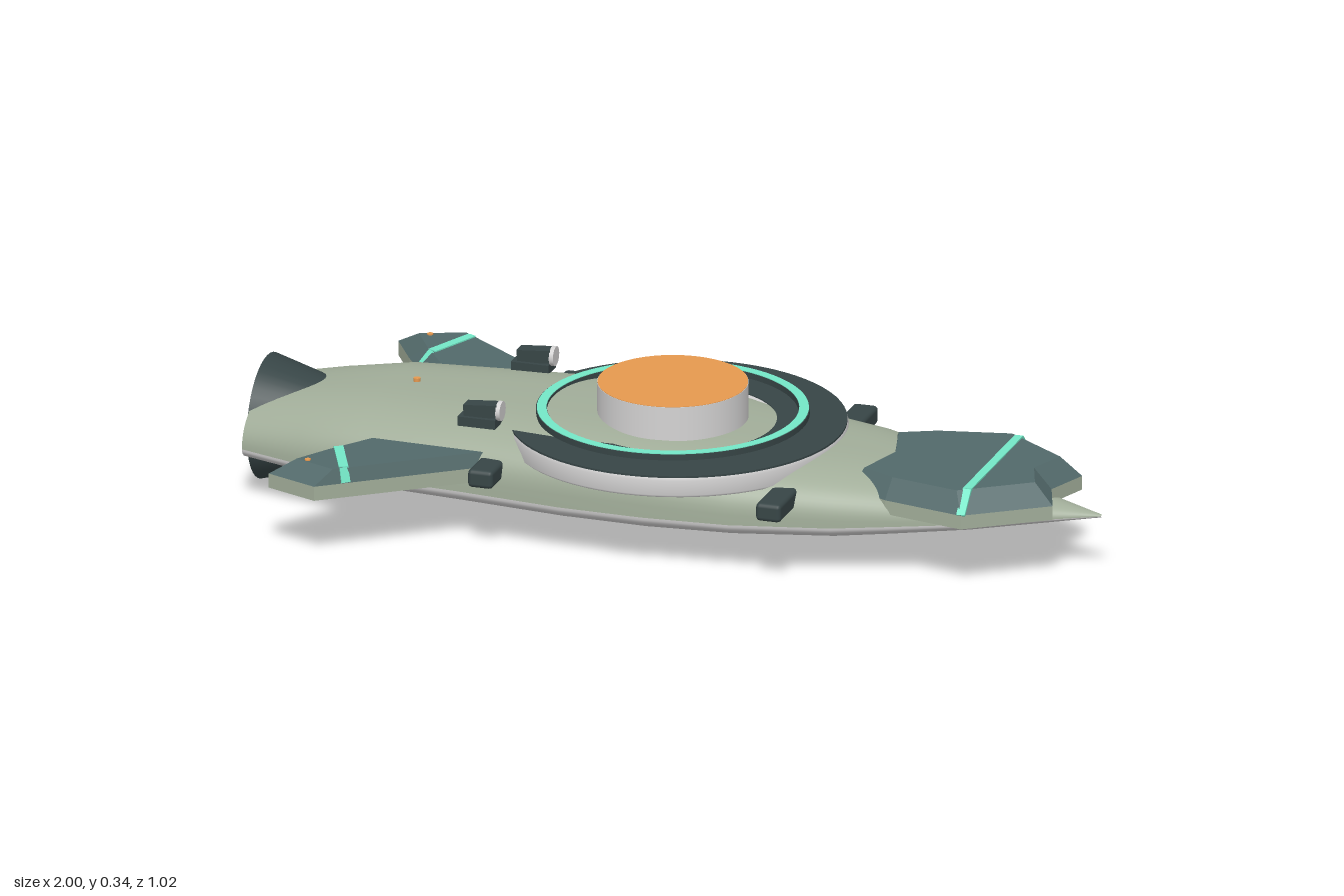
import * as THREE from 'three';
import { RoundedBoxGeometry } from 'three/addons/geometries/RoundedBoxGeometry.js';

const mat = (name, color) => {
  const m = new THREE.MeshStandardMaterial({ color });
  m.name = name;
  return m;
};

export function createModel() {
  const sage = mat('sage hull', 0xa1ad99);
  const slate = mat('slate teal', 0x52696a);
  const dark = mat('dark slate', 0x374546);
  const light = mat('light grey', 0xd4d3d3);
  const mint = mat('mint stripe', 0x74e8c8);
  const orange = mat('orange', 0xe6994f);

  const ship = new THREE.Group();
  ship.name = 'ship';
  const CX = -0.027; // centre of the turret rings

  const add = (name, geo, material, x = 0, y = 0, z = 0) => {
    const m = new THREE.Mesh(geo, material);
    m.name = name;
    m.position.set(x, y, z);
    ship.add(m);
    return m;
  };

  // Lofted half hull; stations are [x, half width, seam y, top y, bottom y, roundness]
  const loft = (stations, upper) => {
    const N = 40, pos = [], idx = [];
    for (const [x, w, seam, top, bottom, n] of stations) {
      const h = upper ? top - seam : seam - bottom;
      const e = 2 / (upper ? n : Math.min(n, 2.2));
      for (let j = 0; j <= N; j++) {
        const a = (upper ? 0 : Math.PI) + Math.PI * j / N;
        const c = Math.cos(a), s = Math.sin(a);
        pos.push(x, seam + h * Math.sign(s) * Math.abs(s) ** e, w * Math.sign(c) * Math.abs(c) ** e);
      }
    }
    for (let i = 0; i < stations.length - 1; i++) {
      for (let j = 0; j < N; j++) {
        const a = i * (N + 1) + j, b = a + N + 1;
        idx.push(a, b, b + 1, a, b + 1, a + 1);
      }
    }
    const g = new THREE.BufferGeometry();
    g.setAttribute('position', new THREE.Float32BufferAttribute(pos, 3));
    g.setIndex(idx);
    g.computeVertexNormals();
    return g;
  };
  const hull = [
    [-0.997, 0.185, 0.13, 0.23, 0.085, 2.2],
    [-0.85, 0.225, 0.126, 0.255, 0.077, 2.4],
    [-0.7, 0.26, 0.125, 0.272, 0.07, 2.7],
    [-0.45, 0.275, 0.124, 0.275, 0.064, 3],
    [-0.2, 0.302, 0.124, 0.275, 0.062, 3.2],
    [0, 0.305, 0.124, 0.272, 0.061, 3.2],
    [0.2, 0.29, 0.124, 0.258, 0.065, 3],
    [0.43, 0.242, 0.126, 0.244, 0.074, 2.7],
    [0.55, 0.2, 0.129, 0.228, 0.084, 2.5],
    [0.72, 0.135, 0.132, 0.2, 0.1, 2.2],
    [0.88, 0.055, 0.135, 0.168, 0.118, 2],
    [1, 0.003, 0.139, 0.143, 0.136, 2],
  ];
  add('upperHull', loft(hull, true), sage);
  add('bellyHull', loft(hull, false), light);
  const tail = [[-0.997, 0, 0.13, 0.13, 0.13, 2], hull[0]];
  add('tailCapUpper', loft(tail, true), sage);
  add('tailCapLower', loft(tail, false), sage);

  // Rear nozzle
  const nozzle = add('nozzle', new THREE.CylinderGeometry(0.104, 0.145, 0.144, 40), dark, -0.927, 0.148, 0);
  nozzle.rotation.z = -Math.PI / 2;
  const cap = add('nozzleCap', new THREE.CircleGeometry(0.128, 40), sage, -1, 0.148, 0);
  cap.rotation.y = -Math.PI / 2;

  // Turret: rounded disc, dark deck ring, raised hoop and drum
  const lathe = pts => new THREE.LatheGeometry(pts.map(p => new THREE.Vector2(...p)), 72);
  const ring = (r0, r1, y0, y1) => lathe([[r0, y0], [r1, y0], [r1, y0], [r1, y1], [r1, y1], [r0, y1], [r0, y1], [r0, y0]]);
  add('turretDisc', lathe([[0, 0.205], [0.38, 0.205], [0.38, 0.205], [0.388, 0.212], [0.388, 0.247],
    [0.384, 0.255], [0.384, 0.255], [0, 0.255]]), light, -0.015);
  add('deckRing', ring(0.225, 0.385, 0.253, 0.2575), dark, -0.015);
  add('hoop', ring(0.286, 0.311, 0.267, 0.281), dark, CX);
  add('hoopStripe', ring(0.287, 0.309, 0.28, 0.2825), mint, CX);
  add('drum', new THREE.CylinderGeometry(0.172, 0.172, 0.115, 64), light, CX, 0.2865, 0);
  add('drumLid', new THREE.CylinderGeometry(0.171, 0.171, 0.002, 64), orange, CX, 0.344, 0);

  // Stripe laid along a path of [x, y, z] points
  const stripe = (name, pts, width) => {
    for (let i = 0; i < pts.length - 1; i++) {
      const a = new THREE.Vector3(...pts[i]), b = new THREE.Vector3(...pts[i + 1]);
      const m = add(name, new THREE.BoxGeometry(width, 0.006, a.distanceTo(b)), mint);
      m.position.copy(a).lerp(b, 0.5);
      m.lookAt(b);
    }
  };

  // Fin plate: straight rim, bevelled upper layer shrunk about (cx, cz); outline is [x, z]
  const fin = (name, outline, y0, y1, y2, cx, cz, k) => {
    let pts = outline.map(([x, z]) => new THREE.Vector2(x, -z));
    if (THREE.ShapeUtils.isClockWise(pts)) pts = pts.reverse();
    const top = pts.map(p => new THREE.Vector2(cx + (p.x - cx) * k, -cz + (p.y + cz) * k));
    const rim = new THREE.ExtrudeGeometry(new THREE.Shape(pts), { depth: y1 - y0, bevelEnabled: false });
    rim.rotateX(-Math.PI / 2);
    add(name + 'Rim', rim, [dark, sage], 0, y0, 0);
    const lid = new THREE.ShapeGeometry(new THREE.Shape(top));
    lid.rotateX(-Math.PI / 2);
    add(name + 'Top', lid, slate, 0, y2, 0);
    const pos = [];
    pts.forEach((a, i) => {
      const j = (i + 1) % pts.length, b = pts[j], c = top[j], d = top[i];
      for (const [p, y] of [[a, y1], [b, y1], [c, y2], [a, y1], [c, y2], [d, y2]]) pos.push(p.x, y, -p.y);
    });
    const bevel = new THREE.BufferGeometry();
    bevel.setAttribute('position', new THREE.Float32BufferAttribute(pos, 3));
    bevel.computeVertexNormals();
    add(name + 'Bevel', bevel, slate);
  };

  // Nose plate with a notched front edge
  fin('nosePlate', [[0.45, 0.145], [0.545, 0.19], [0.74, 0.232], [0.918, 0.105], [0.88, 0],
    [0.918, -0.105], [0.74, -0.232], [0.545, -0.19], [0.45, -0.145], [0.49, 0]], 0.157, 0.19, 0.237, 0.6, 0, 0.85);
  stripe('noseStripe', [[0.74, 0.19, -0.231], [0.74, 0.237, -0.184], [0.74, 0.237, 0.184], [0.74, 0.19, 0.231]], 0.02);

  for (const s of [1, -1]) {
    const side = s > 0 ? 'Front' : 'Back';
    // Rear fins
    fin('rearFin' + side, [[-0.715, 0.51], [-0.84, 0.46], [-0.78, 0.36], [-0.69, 0.23], [-0.36, 0.24]]
      .map(([x, z]) => [x, z * s]), 0.152, 0.186, 0.22, -0.55, 0.33 * s, 0.8);
    stripe('rearFinStripe' + side, [[-0.655, 0.187, 0.463 * s], [-0.662, 0.22, 0.456 * s],
      [-0.716, 0.22, 0.332 * s], [-0.738, 0.187, 0.308 * s]], 0.022);
    add('finLamp' + side, new THREE.CylinderGeometry(0.007, 0.007, 0.006, 12), orange, -0.755, 0.22, 0.435 * s);

    // Side thrusters
    for (const x of [-0.372, 0.318]) {
      add('sideThruster', new RoundedBoxGeometry(0.06, 0.043, 0.14, 2, 0.01), dark, x, 0.187, 0.281 * s);
    }

    // Small deck guns with round muzzles
    add('gunBase', new THREE.BoxGeometry(0.09, 0.022, 0.056), dark, -0.425, 0.272, 0.19 * s);
    const body = add('gunBody', new THREE.BoxGeometry(0.08, 0.03, 0.036), dark, -0.419, 0.297, 0.19 * s);
    body.rotation.z = 0.08;
    const muzzle = add('gunMuzzle', new THREE.CylinderGeometry(0.023, 0.023, 0.01, 20), light, -0.376, 0.298, 0.19 * s);
    muzzle.rotation.z = -Math.PI / 2;
  }

  // Deck beacon
  add('beacon', new THREE.CylinderGeometry(0.008, 0.008, 0.012, 12), orange, -0.64, 0.275, 0);
  return ship;
}
